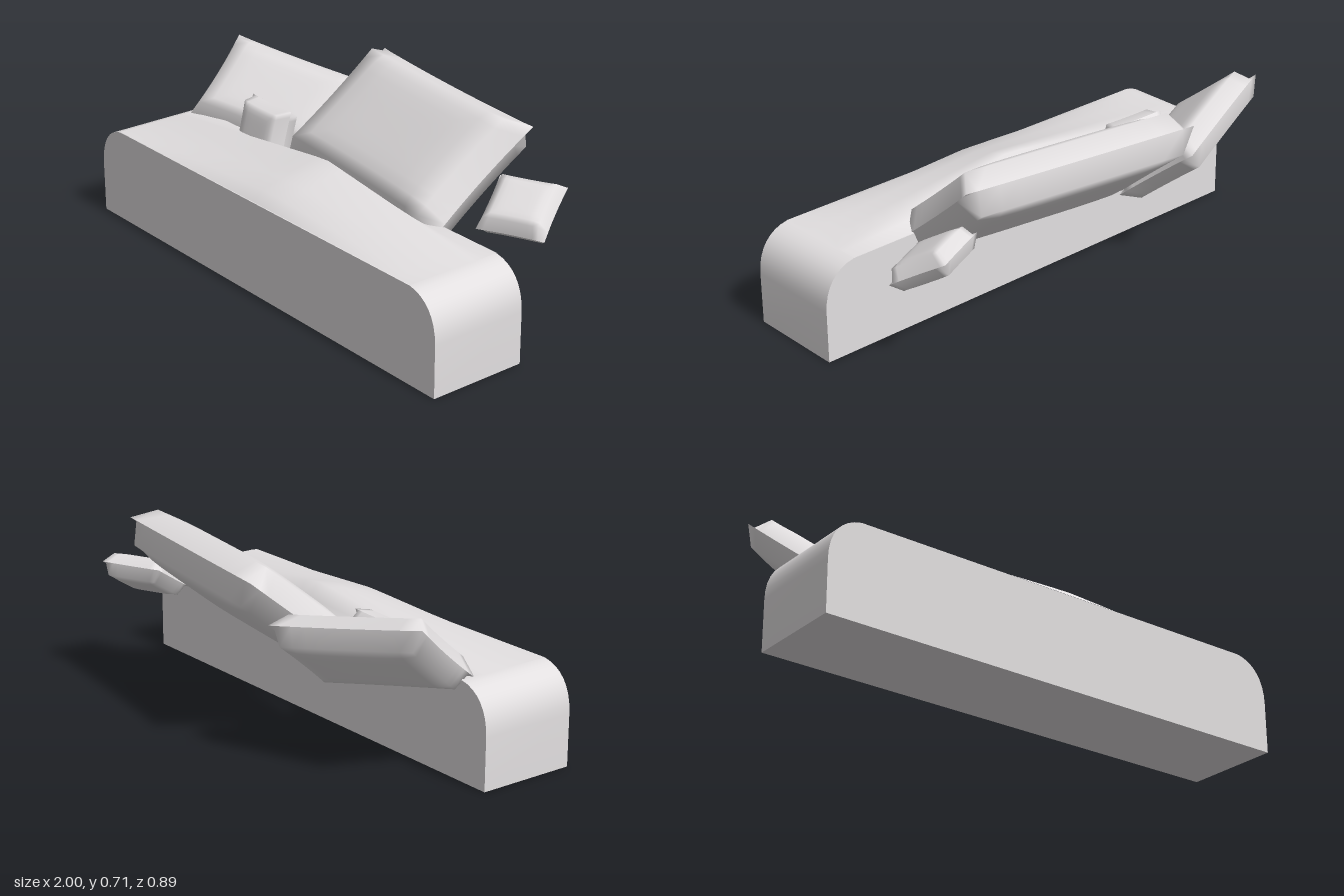
import * as THREE from 'three';
import { mergeGeometries, toCreasedNormals } from 'three/addons/utils/BufferGeometryUtils.js';

const fabric = new THREE.MeshStandardMaterial({ color: 0xe2dfe0 });
fabric.name = 'light grey fabric';

// Pillow made of two equal halves that meet in a sharp seam with pointed corners.
// across = direction of the width, down = direction from top edge to bottom edge.
function makePillow(name, { center, across, down, width, height, thick, bulge, inset, pinch = 0.03 }) {
  const cells = 12, inner = 1 - 2 / cells;
  const half = new THREE.PlaneGeometry(2, 2, cells, cells).rotateX(-Math.PI / 2);
  const p = half.attributes.position;
  // the outermost row is the seam, the next row is the edge of the raised face
  const place = (g, size) => (Math.abs(g) > 0.99 ? g * size / 2 : (g / inner) * (size / 2 - inset));
  for (let i = 0; i < p.count; i++) {
    const s = p.getX(i), t = p.getZ(i);
    const seam = Math.max(Math.abs(s), Math.abs(t)) > 0.99;
    const puff = Math.sqrt(Math.max(0, 1 - (s / inner) ** 4) * Math.max(0, 1 - (t / inner) ** 4));
    p.setXYZ(i,
      place(s, width) * (1 - pinch * (1 - t * t)),
      seam ? 0 : thick / 2 + bulge * puff,
      place(t, height) * (1 - pinch * (1 - s * s)));
  }
  half.computeVertexNormals();
  const geo = mergeGeometries([half, half.clone().rotateZ(Math.PI)]);

  const u = new THREE.Vector3(...across).normalize();
  const w = new THREE.Vector3(...down);
  const n = new THREE.Vector3().crossVectors(w, u).normalize();
  w.crossVectors(u, n);
  const mesh = new THREE.Mesh(geo, fabric);
  mesh.name = name;
  mesh.quaternion.setFromRotationMatrix(new THREE.Matrix4().makeBasis(u, n, w));
  mesh.position.set(...center);
  return mesh;
}

// Long seat block with rounded upper ends
function makeSeat() {
  const shape = new THREE.Shape();
  shape.moveTo(-1, 0);
  shape.lineTo(1, 0);
  shape.lineTo(1, 0.2);
  shape.bezierCurveTo(1, 0.3, 0.95, 0.36, 0.87, 0.372);
  shape.lineTo(-0.87, 0.372);
  shape.bezierCurveTo(-0.95, 0.36, -1, 0.3, -1, 0.2);
  const geo = new THREE.ExtrudeGeometry(shape, { depth: 0.393, bevelEnabled: false, curveSegments: 8 });
  geo.translate(0, 0, 0.056);
  const mesh = new THREE.Mesh(toCreasedNormals(geo, 0.6), fabric);
  mesh.name = 'seatBlock';
  return mesh;
}

// Domed top of the seat: a tent along x, shaped front to back by a short profile
function makeSeatTop() {
  const profile = [[0.056, 0], [0.12, 0.45], [0.155, 1], [0.24, 0.79], [0.32, 0.58], [0.405, 0.35], [0.447, 0]];
  const columns = 24, peakX = 0.06, endX = 0.87;
  const geo = new THREE.PlaneGeometry(2, 2, columns, profile.length - 1);
  const p = geo.attributes.position;
  for (let i = 0; i < p.count; i++) {
    const x = p.getX(i) * endX;
    const [z, rise] = profile[Math.floor(i / (columns + 1))];
    const tent = x < peakX ? (x + endX) / (peakX + endX) : (endX - x) / (endX - peakX);
    p.setXYZ(i, x, 0.374 + 0.108 * tent * rise, z);
  }
  geo.computeVertexNormals();
  const mesh = new THREE.Mesh(geo, fabric);
  mesh.name = 'seatTop';
  return mesh;
}

export function createModel() {
  const group = new THREE.Group();
  group.name = 'seatWithPillows';
  group.add(makeSeat(), makeSeatTop());

  group.add(
    makePillow('largeBackPillow', {
      center: [0.14, 0.5, -0.155], across: [0.99, 0.005, 0.135], down: [-0.1, -0.3, 0.36],
      width: 0.985, height: 0.565, thick: 0.165, bulge: 0.02, inset: 0.05,
    }),
    makePillow('rightBackPillow', {
      center: [-0.615, 0.447, -0.14], across: [0.575, -0.09, -0.21], down: [0.04, -0.24, 0.31],
      width: 0.62, height: 0.4, thick: 0.125, bulge: 0.014, inset: 0.04,
    }),
    makePillow('leftSmallPillow', {
      center: [0.722, 0.417, -0.2], across: [0.23, 0, -0.105], down: [0.05, -0.12, 0.21],
      width: 0.26, height: 0.25, thick: 0.09, bulge: 0.01, inset: 0.025,
    }),
    makePillow('frontSmallPillow', {
      center: [-0.472, 0.4, 0.03], across: [1, 0, 0.03], down: [0, -0.97, 0.25],
      width: 0.255, height: 0.22, thick: 0.1, bulge: 0.01, inset: 0.02,
    }),
  );
  return group;
}
